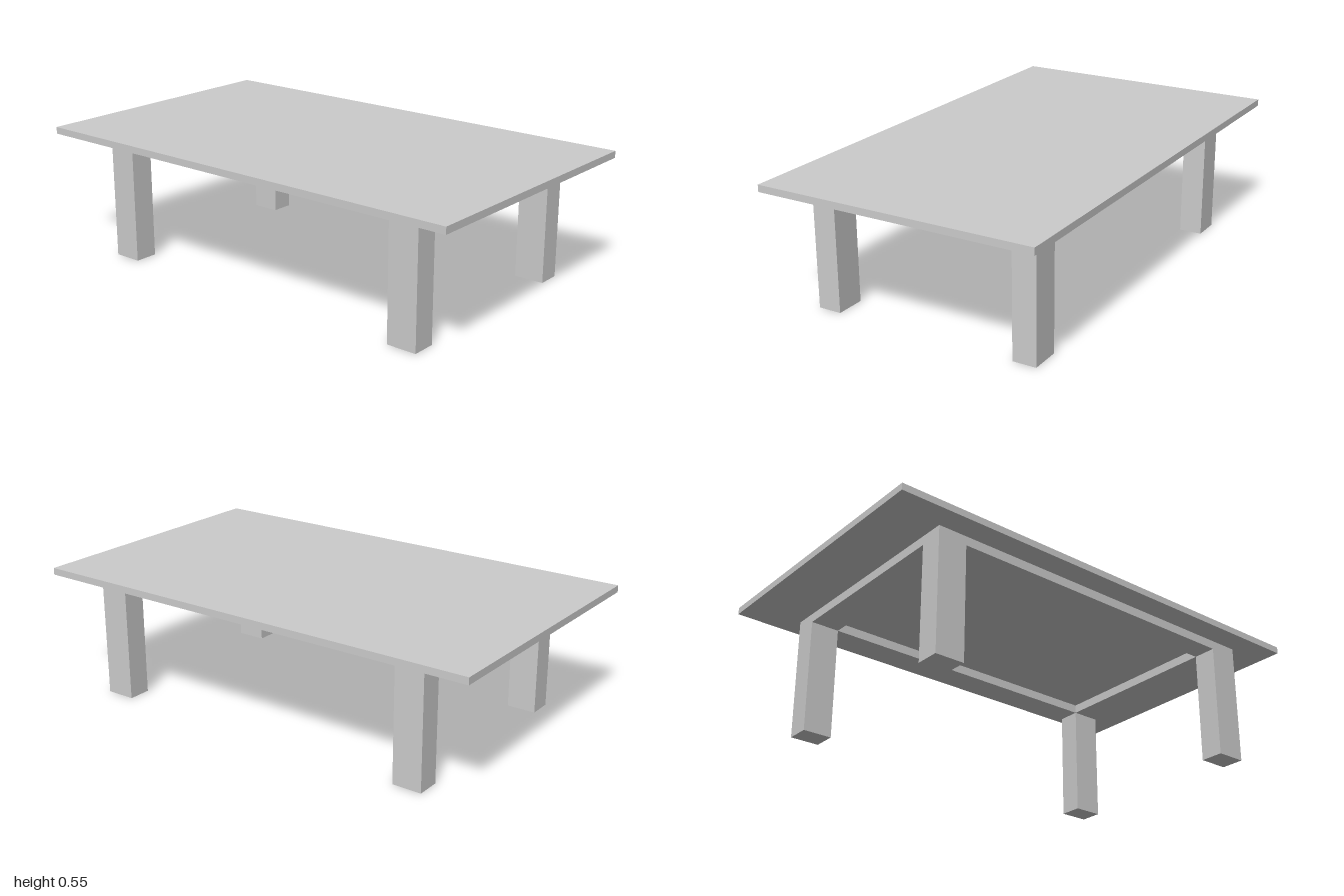
import * as THREE from 'three';

export function createModel() {
  const model = new THREE.Group();
  model.name = 'table';
  const material = new THREE.MeshStandardMaterial({ color: 0xcccccc, flatShading: true });

  // Box given by its extents along each axis
  function box(name, [x0, x1], [y0, y1], [z0, z1]) {
    const mesh = new THREE.Mesh(new THREE.BoxGeometry(x1 - x0, y1 - y0, z1 - z0), material);
    mesh.position.set((x0 + x1) / 2, (y0 + y1) / 2, (z0 + z1) / 2);
    mesh.name = name;
    model.add(mesh);
  }

  const topBottom = 0.52;
  const apronY = [0.482, topBottom];
  const xSides = { Right: [-0.765, -0.641], Left: [0.69, 0.818] };
  const zSides = { front: [0.389, 0.489], back: [-0.49, -0.391] };

  box('tableTop', [-1, 1], [topBottom, 0.549], [-0.59, 0.59]);

  // Legs at the four corners of the frame, slightly off-centre in x
  for (const [zName, z] of Object.entries(zSides)) {
    for (const [xName, x] of Object.entries(xSides)) {
      box(`${zName}${xName}Leg`, x, [0, topBottom], z);
    }
  }

  // Apron rails as thick as the legs, joining them under the top
  for (const [name, z] of Object.entries(zSides)) {
    box(`${name}Apron`, [xSides.Right[1], xSides.Left[0]], apronY, z);
  }
  for (const [name, x] of Object.entries(xSides)) {
    box(`${name.toLowerCase()}Apron`, x, apronY, [zSides.back[1], zSides.front[0]]);
  }

  return model;
}
